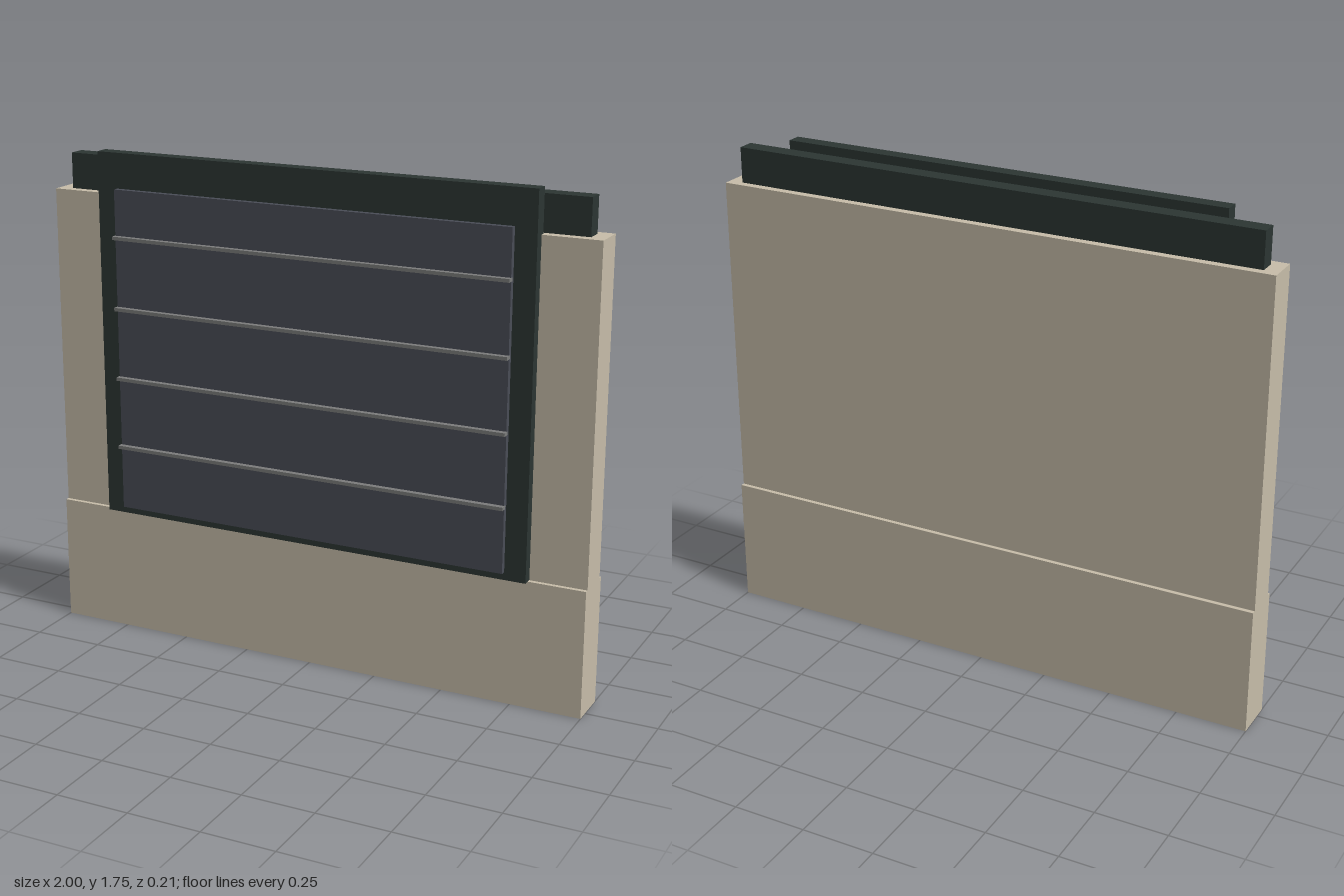
import * as THREE from 'three';

const makeMaterial = (name, color) => {
  const m = new THREE.MeshStandardMaterial({ color });
  m.name = name;
  return m;
};

export function createModel() {
  const model = new THREE.Group();
  model.name = 'wallWithShutter';

  const stone = makeMaterial('sandStone', 0xc8beaa);
  const darkMetal = makeMaterial('darkMetal', 0x2c3633);
  const slate = makeMaterial('slatePanel', 0x4a4d57);
  const grey = makeMaterial('greyTrim', 0x7c7d7c);

  // Box centred on x, given by its half width and its y and z limits
  const addBox = (name, material, halfWidth, y0, y1, z0, z1) => {
    const mesh = new THREE.Mesh(new THREE.BoxGeometry(halfWidth * 2, y1 - y0, z1 - z0), material);
    mesh.position.set(0, (y0 + y1) / 2, (z0 + z1) / 2);
    mesh.name = name;
    model.add(mesh);
    return mesh;
  };

  // Wall: thicker plinth below, thinner wall above, coping beam on top
  addBox('plinth', stone, 1, 0, 0.45, -0.105, 0.045);
  addBox('upperWall', stone, 1, 0.45, 1.6, -0.09, 0.03);
  addBox('topBeam', darkMetal, 0.95, 1.6, 1.725, -0.062, -0.002);

  // Shutter: dark surround, raised panel and thin horizontal ribs
  addBox('shutterFrame', darkMetal, 0.8, 0.45, 1.75, 0.015, 0.066);
  addBox('shutterPanel', slate, 0.725, 0.478, 1.627, 0.06, 0.086);
  for (let i = 0; i < 4; i++) {
    const y = 0.708 + i * 0.251;
    addBox('shutterRib' + (i + 1), grey, 0.727, y - 0.006, y + 0.006, 0.08, 0.105);
  }

  return model;
}
